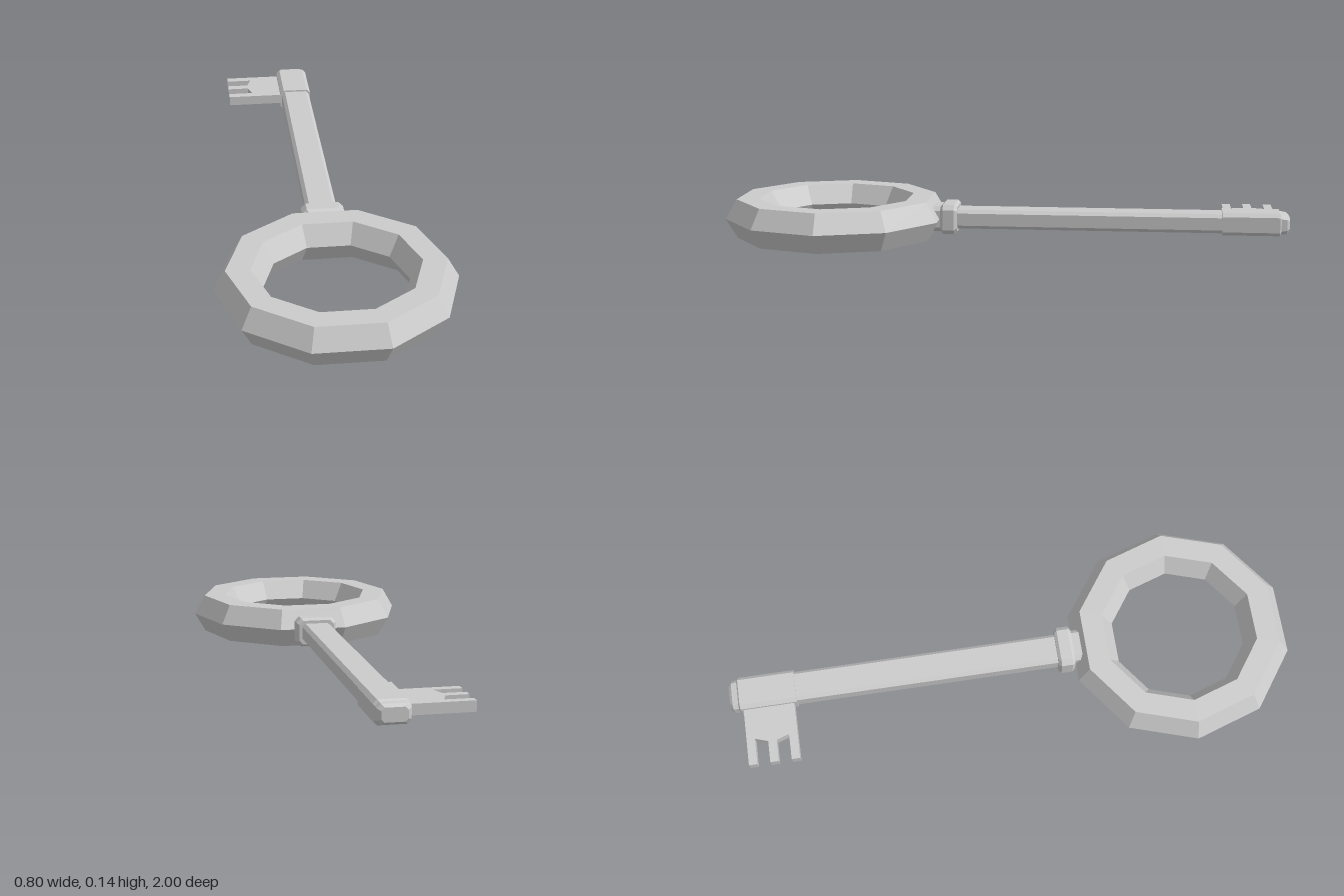
import * as THREE from 'three';

const material = new THREE.MeshStandardMaterial({ color: 0xcccccc, flatShading: true });
const MID = 0.07; // height of the key's centre line

// Closed loft along z through chamfered rectangles, listed from front to back:
// [z, half width, half height, chamfer]
function loft(sections) {
  const pos = [];
  const rings = sections.map(([z, w, h, c]) => [
    [w, -h + c, z], [w, h - c, z], [w - c, h, z], [-w + c, h, z],
    [-w, h - c, z], [-w, -h + c, z], [-w + c, -h, z], [w - c, -h, z],
  ]);
  const tri = (a, b, c) => pos.push(...a, ...b, ...c);
  for (let i = 0; i < rings.length - 1; i++) {
    for (let k = 0; k < 8; k++) {
      const n = (k + 1) % 8;
      const a = rings[i][k], b = rings[i][n], c = rings[i + 1][n], d = rings[i + 1][k];
      tri(a, d, c);
      tri(a, c, b);
    }
  }
  const first = rings[0], last = rings[rings.length - 1];
  for (let k = 1; k < 7; k++) {
    tri(first[0], first[k], first[k + 1]);
    tri(last[0], last[k + 1], last[k]);
  }
  const geometry = new THREE.BufferGeometry();
  geometry.setAttribute('position', new THREE.Float32BufferAttribute(pos, 3));
  geometry.computeVertexNormals();
  return geometry;
}

export function createModel() {
  const key = new THREE.Group();
  key.name = 'key';
  const add = (name, geometry) => {
    const mesh = new THREE.Mesh(geometry, material);
    mesh.name = name;
    mesh.position.y = MID;
    key.add(mesh);
    return mesh;
  };

  // Ten-sided ring handle with a hexagonal section
  const bow = add('bow', new THREE.TorusGeometry(0.32, 0.081, 6, 10));
  bow.rotation.x = -Math.PI / 2;
  bow.position.z = 0.62;

  // Neck, collar, shaft and thickened tip
  add('neck', loft([[0.28, 0.058, 0.045, 0.015], [0.22, 0.058, 0.045, 0.015]]));
  add('collar', loft([
    [0.235, 0.065, 0.045, 0.015], [0.225, 0.074, 0.053, 0.017],
    [0.185, 0.074, 0.053, 0.017], [0.175, 0.065, 0.045, 0.015],
  ]));
  add('shaft', loft([[0.2, 0.054, 0.034, 0.012], [-0.8, 0.054, 0.034, 0.012]]));
  add('tip', loft([
    [-0.765, 0.06, 0.04, 0.013], [-0.965, 0.06, 0.04, 0.013],
    [-0.97, 0.055, 0.035, 0.013], [-0.99, 0.053, 0.032, 0.013], [-1, 0.042, 0.023, 0.01],
  ]));

  // Flat bit with three teeth, outlined as (x, -z) and laid down
  const outline = [
    [0, 0.775], [0, 0.955], [-0.265, 0.955], [-0.265, 0.925], [-0.172, 0.925],
    [-0.187, 0.88], [-0.265, 0.88], [-0.265, 0.85], [-0.187, 0.85],
    [-0.172, 0.805], [-0.265, 0.805], [-0.265, 0.775],
  ].map(([x, y]) => new THREE.Vector2(x, y));
  const bitGeometry = new THREE.ExtrudeGeometry(new THREE.Shape(outline), {
    depth: 0.036, bevelEnabled: false,
  });
  bitGeometry.translate(0, 0, -0.018);
  add('bit', bitGeometry).rotation.x = -Math.PI / 2;

  return key;
}
